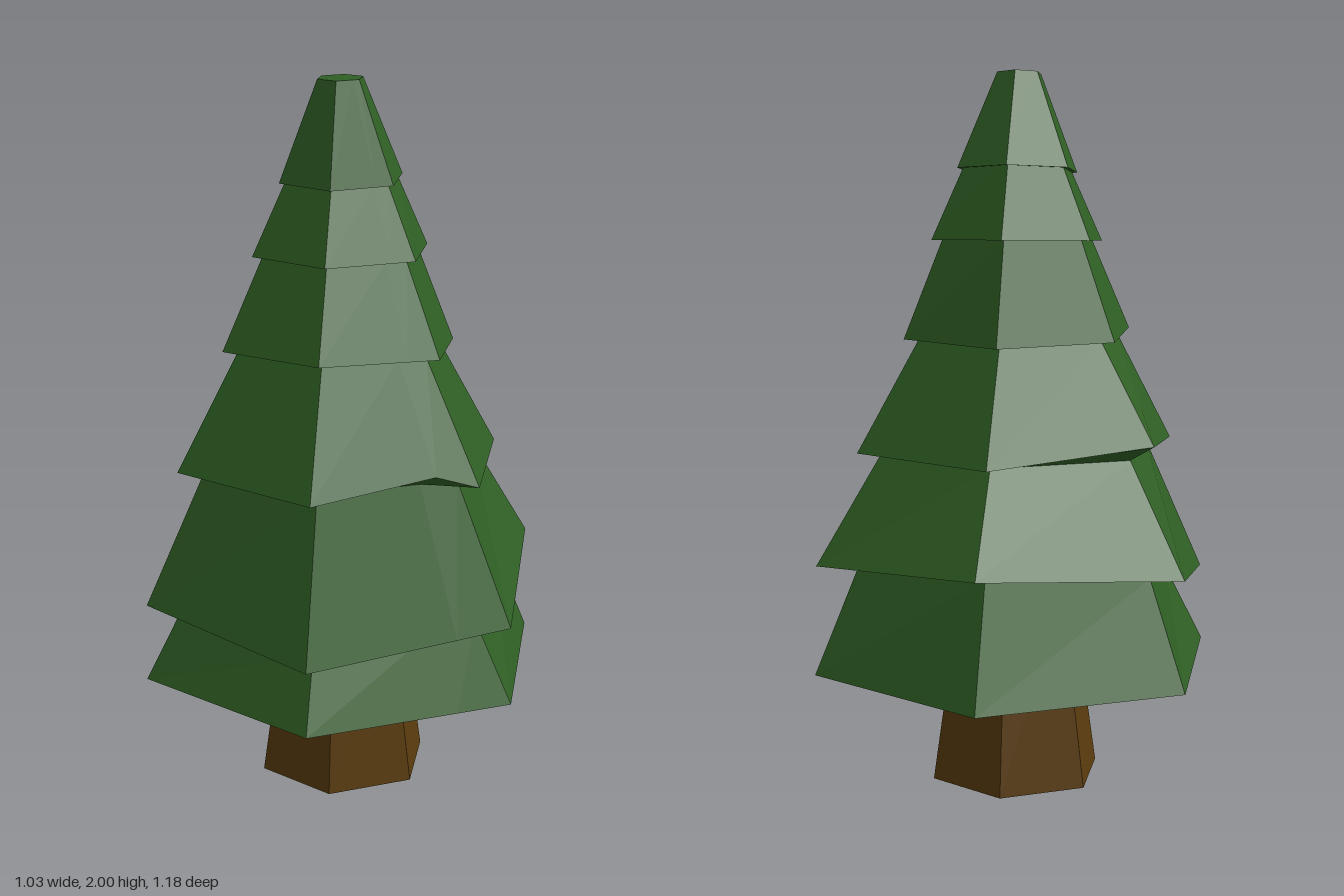
import * as THREE from 'three';

const NOTCH = 0.73; // extra point along the front-left edge of every ring

// Six-sided ring with a corner at the front; its height runs from yFront to yBack.
// Points: 0 front, 1 notch, 2 front +x, 3 back +x, 4 back, 5 back -x, 6 front -x.
function ring(r, cz, yFront, yBack = yFront, shifts = {}) {
  const corners = [];
  for (let i = 0; i < 6; i++) {
    const a = (i * Math.PI) / 3;
    const t = (1 - Math.cos(a)) / 2;
    corners.push(new THREE.Vector3(r * Math.sin(a), yFront + (yBack - yFront) * t, cz + r * Math.cos(a)));
  }
  corners.splice(1, 0, corners[0].clone().lerp(corners[1], NOTCH));
  for (const [i, s] of Object.entries(shifts)) corners[i].add(new THREE.Vector3(...s));
  return corners;
}

// Flat-faced surface through successive rings
function loft(rings) {
  const pos = [];
  const add = (...pts) => pts.forEach((p) => pos.push(p.x, p.y, p.z));
  for (let k = 0; k < rings.length - 1; k++) {
    const a = rings[k], b = rings[k + 1], n = a.length;
    for (let i = 0; i < n; i++) {
      const j = (i + 1) % n;
      if (a[i].distanceTo(a[j]) > 1e-6) add(a[i], a[j], b[j]);
      if (b[i].distanceTo(b[j]) > 1e-6) add(a[i], b[j], b[i]);
    }
  }
  const g = new THREE.BufferGeometry();
  g.setAttribute('position', new THREE.Float32BufferAttribute(pos, 3));
  g.computeVertexNormals();
  return g;
}

export function createModel() {
  const tree = new THREE.Group();
  tree.name = 'pineTree';
  const needles = new THREE.MeshStandardMaterial({ color: 0x2f5f24 });
  needles.name = 'needleGreen';
  const bark = new THREE.MeshStandardMaterial({ color: 0x5a3c0e });
  bark.name = 'barkBrown';
  needles.flatShading = bark.flatShading = true;

  const addMesh = (name, geometry, material) => {
    const mesh = new THREE.Mesh(geometry, material);
    mesh.name = name;
    tree.add(mesh);
    return mesh;
  };

  // Tapered trunk, reaching into the hollow of the lowest tier
  const trunk = addMesh('trunk', new THREE.CylinderGeometry(0.17, 0.25, 0.54, 6), bark);
  trunk.position.y = 0.27;

  // Branch tiers from the bottom up: lower rim, then upper edge
  const tiers = [
    [ring(0.592, 0, 0.34), ring(0.47, 0.02, 0.525, 0.67)],
    [ring(0.585, 0.004, 0.52, 0.69), ring(0.4, 0.02, 0.95)],
    [
      // rim with a small nick and one lifted corner
      ring(0.476, 0.043, 0.95, 0.95, { 1: [0, 0.035, -0.025], 5: [0, 0.04, 0] }),
      ring(0.295, 0.045, 1.285, 1.255),
    ],
    [ring(0.34, 0.048, 1.285, 1.255), ring(0.225, 0.042, 1.525, 1.54)],
    [ring(0.255, 0.037, 1.525, 1.54), ring(0.162, 0.037, 1.715, 1.74)],
    [ring(0.178, 0.033, 1.715, 1.74), ring(0.065, 0.053, 1.99, 2)],
  ];

  tiers.forEach(([rim, top], i) => {
    const rings = [rim, top];
    if (i === 0) {
      // hollow underside: ceiling, sloped inner wall, flat lip
      rings.unshift(ring(0, 0, 0.53), ring(0.29, 0, 0.53), ring(0.42, 0, 0.34));
    } else {
      rings.unshift(tiers[i - 1][1]); // underside meets the tier below
    }
    if (i === tiers.length - 1) rings.push(ring(0, 0.053, 1.995)); // blunt tip
    addMesh(`branchTier${i + 1}`, loft(rings), needles);
  });

  return tree;
}
